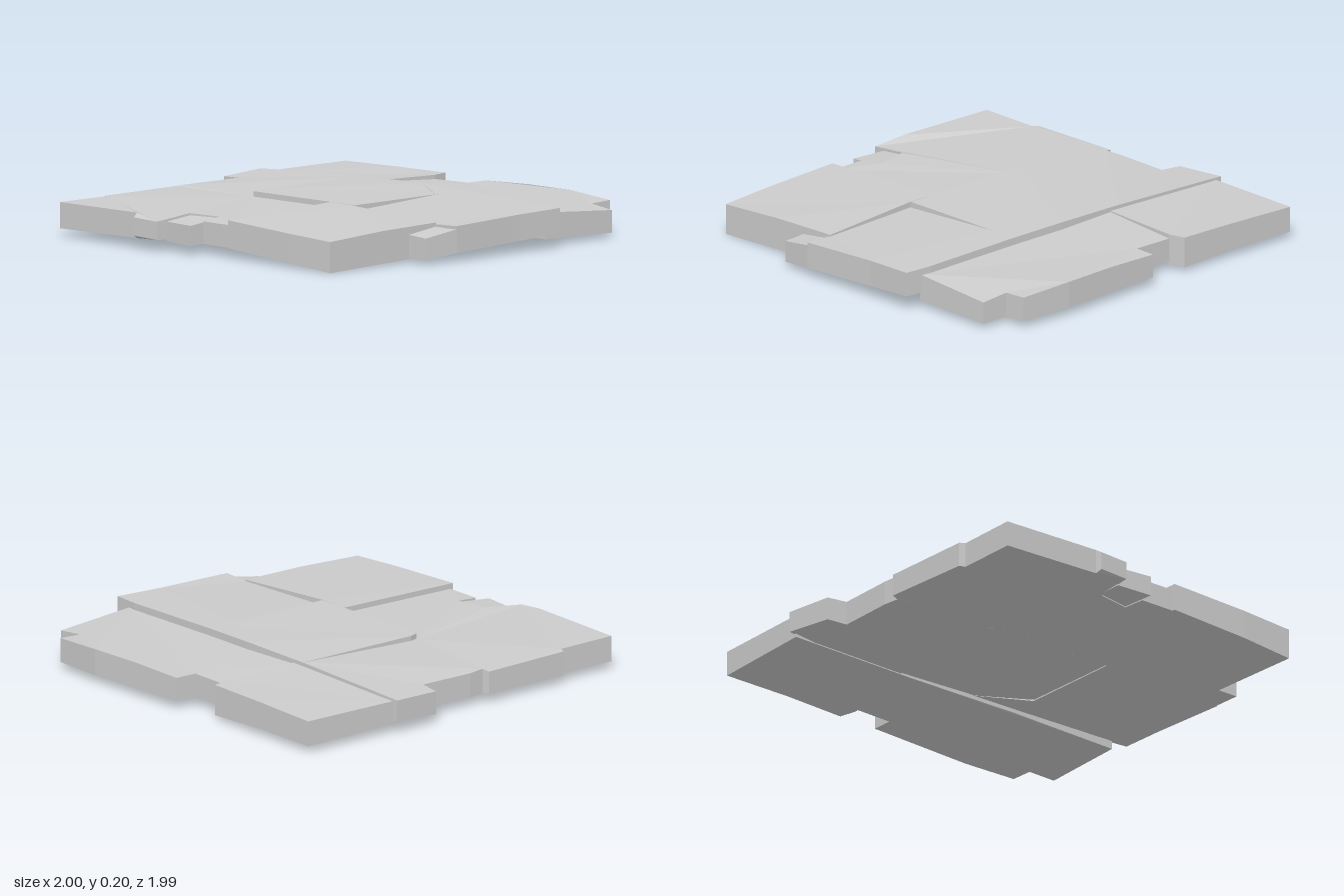
import * as THREE from 'three';

const material = new THREE.MeshStandardMaterial({ color: 0xcccccc, flatShading: true });

// A stone slab from an outline of corners [x, z, top height, bottom height]
function slab(name, corners) {
  let ring = corners;
  const flat = (list) => list.map(([x, z]) => new THREE.Vector2(x, -z));
  if (THREE.ShapeUtils.isClockWise(flat(ring))) ring = ring.slice().reverse();
  const top = ring.map(([x, z, t]) => [x, t, z]);
  const bottom = ring.map(([x, z, , b]) => [x, b, z]);
  const positions = [];
  const tri = (a, b, c) => positions.push(...a, ...b, ...c);

  for (const [a, b, c] of THREE.ShapeUtils.triangulateShape(flat(ring), [])) {
    tri(top[a], top[b], top[c]);
    tri(bottom[c], bottom[b], bottom[a]);
  }
  for (let i = 0; i < ring.length; i++) {
    const j = (i + 1) % ring.length;
    tri(bottom[i], bottom[j], top[j]);
    tri(bottom[i], top[j], top[i]);
  }
  const geometry = new THREE.BufferGeometry();
  geometry.setAttribute('position', new THREE.Float32BufferAttribute(positions, 3));
  geometry.computeVertexNormals();
  const mesh = new THREE.Mesh(geometry, material);
  mesh.name = name;
  return mesh;
}

export function createModel() {
  const group = new THREE.Group();
  group.name = 'pavingPatch';

  group.add(
    // Back row, a little lower than the middle row
    slab('backLeftSlab', [
      [-0.96, -0.95, 0.15, 0.03], [-0.6, -0.947, 0.16, 0.03], [-0.29, -0.945, 0.165, 0.02],
      [-0.27, -0.86, 0.165, 0.02], [-0.28, -0.45, 0.175, 0.04], [-0.97, -0.44, 0.15, 0.04],
    ]),
    slab('backRightSlab', [
      [-0.275, -0.865, 0.145, 0.035], [-0.06, -0.87, 0.15, 0.035], [-0.055, -0.98, 0.15, 0.04],
      [0.22, -0.99, 0.16, 0.04], [0.5, -1, 0.16, 0.035], [0.77, -0.98, 0.145, 0.03],
      [0.77, -0.865, 0.14, 0.025], [0.91, -0.86, 0.125, 0.02], [0.91, -0.44, 0.155, 0.03],
      [0.33, -0.44, 0.17, 0.04], [-0.28, -0.45, 0.17, 0.04],
    ]),

    // Middle row, with the raised centre slab
    slab('leftSlab', [
      [-1, -0.45, 0.16, 0.06], [-0.85, -0.455, 0.168, 0.045], [-0.34, -0.465, 0.19, 0.045],
      [-0.34, 0.22, 0.165, 0.04], [-0.87, 0.17, 0.158, 0.04], [-0.88, 0.09, 0.155, 0.04],
      [-0.875, -0.19, 0.155, 0.04], [-0.98, -0.2, 0.15, 0.04],
    ]),
    slab('centreSlab', [
      [-0.345, -0.465, 0.19, 0.05], [0.04, -0.475, 0.2, 0.06], [0.33, -0.44, 0.193, 0.06],
      [0.33, 0.22, 0.193, 0.045], [0.18, 0.22, 0.193, 0.04], [-0.335, 0.225, 0.19, 0.04],
      [-0.35, 0.18, 0.19, 0.04],
    ]),
    slab('rightSlab', [
      [0.04, -0.475, 0.2, 0.06], [0.33, -0.465, 0.196, 0.06], [0.86, -0.46, 0.188, 0.07],
      [1, -0.445, 0.185, 0.07], [0.99, -0.2, 0.178, 0.055], [1, 0.21, 0.165, 0.04],
      [0.85, 0.21, 0.16, 0.04], [0.33, 0.23, 0.165, 0.04], [0.33, -0.3, 0.192, 0.05],
    ]),

    // Front row
    slab('frontLeftSlab', [
      [-0.87, 0.17, 0.158, 0.04], [-0.34, 0.22, 0.165, 0.04], [0.19, 0.215, 0.168, 0.04],
      [0.2, 0.87, 0.15, 0.045], [0.01, 0.87, 0.15, 0.045], [0, 0.76, 0.16, 0.045],
      [-0.165, 0.79, 0.162, 0.045], [-0.18, 0.985, 0.14, 0.055], [-0.33, 0.988, 0.145, 0.06],
      [-0.34, 0.96, 0.163, 0.045], [-0.86, 0.952, 0.157, 0.035], [-0.86, 0.65, 0.155, 0.035],
      [-0.89, 0.64, 0.152, 0.035], [-0.905, 0.18, 0.15, 0.045],
    ]),
    slab('frontRightSlab', [
      [0.175, 0.22, 0.193, 0.04], [0.33, 0.225, 0.192, 0.04], [0.86, 0.205, 0.168, 0.02],
      [0.865, 0.55, 0.162, 0.01], [0.87, 0.885, 0.145, 0], [0.6, 0.893, 0.157, 0.02],
      [0.19, 0.885, 0.175, 0.045],
    ]),

    // Small chips filling the edge notches
    slab('frontChip', [
      [-0.175, 0.77, 0.155, 0.05], [0, 0.75, 0.155, 0.05],
      [0, 0.943, 0.135, 0.04], [-0.18, 0.925, 0.135, 0.045],
    ]),
    slab('rightChip', [
      [0.85, 0.2, 0.15, 0.03], [0.995, 0.2, 0.15, 0.04],
      [0.975, 0.38, 0.122, 0.02], [0.86, 0.38, 0.128, 0.02],
    ]),
  );
  return group;
}
